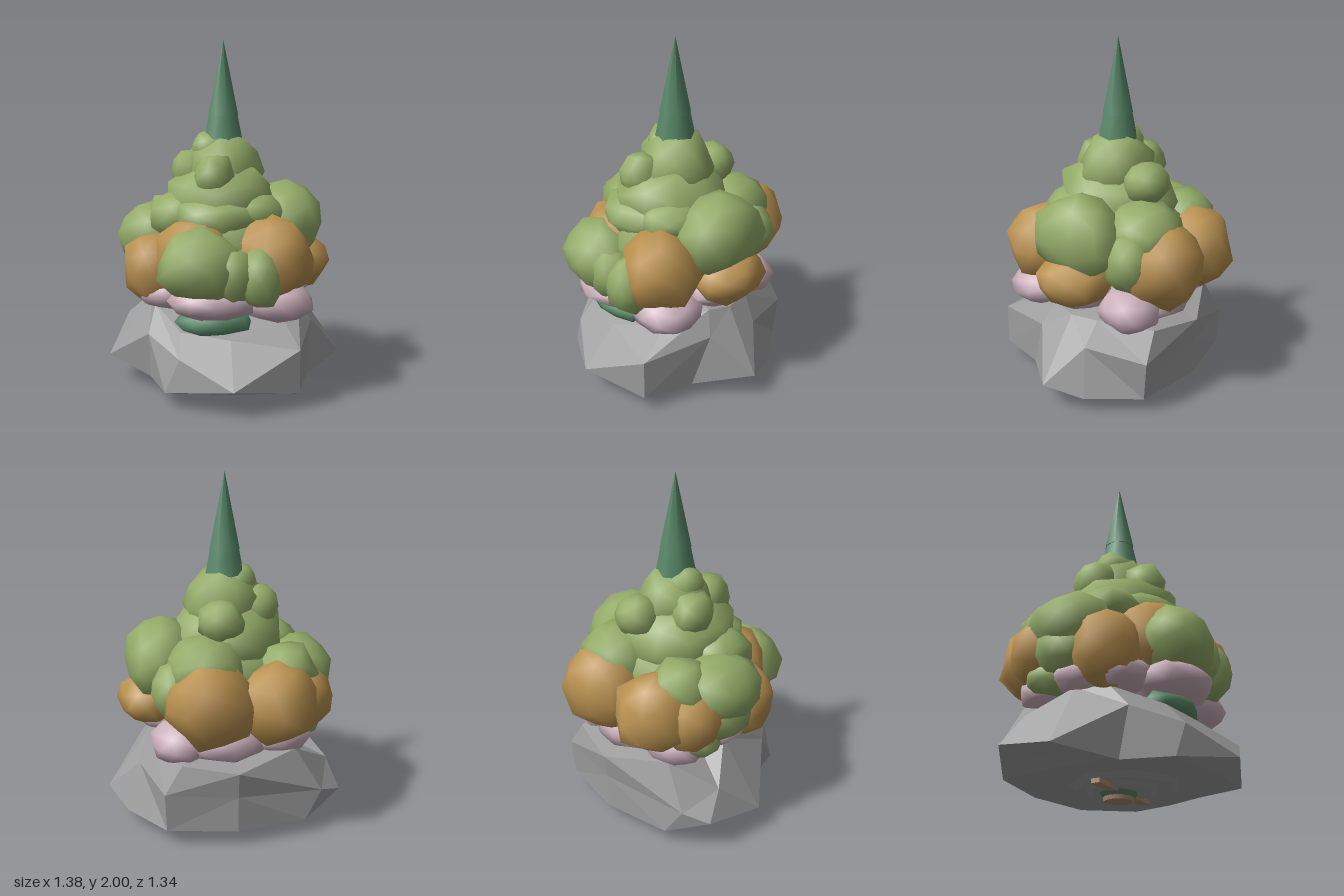
import * as THREE from 'three';
import { mergeVertices } from 'three/addons/utils/BufferGeometryUtils.js';

const mat = (name, color) => {
  const m = new THREE.MeshStandardMaterial({ color });
  m.name = name;
  return m;
};

let seed = 7;
const rand = () => {
  seed = (seed * 16807) % 2147483647;
  return seed / 2147483647;
};

// Lumpy low-poly ball with smooth normals, used for every clump
function blob(rx, ry, rz) {
  let g = new THREE.IcosahedronGeometry(1, 1);
  g.deleteAttribute('normal');
  g.deleteAttribute('uv');
  g = mergeVertices(g, 1e-3);
  g.rotateY(rand() * 6);
  const p = g.attributes.position;
  for (let i = 0; i < p.count; i++) {
    const k = 0.93 + rand() * 0.2;
    p.setXYZ(i, p.getX(i) * k * rx, p.getY(i) * k * ry, p.getZ(i) * k * rz);
  }
  g.computeVertexNormals();
  return g;
}

// Faceted rock from three irregular rings, closed above and below
function rockGeometry() {
  const bottom = [[0, 0.54], [0.37, 0.54], [0.45, 0.25], [0.54, 0.02], [0.59, -0.23], [0.39, -0.5],
    [0, -0.57], [-0.4, -0.5], [-0.45, -0.3], [-0.47, -0.02], [-0.44, 0.22], [-0.36, 0.49]]
    .map(([x, z]) => [x, 0.09, z]);
  const middle = [[0, 0.15, 0.68], [0.37, 0.33, 0.54], [0.49, 0.39, 0.15], [0.69, 0.15, -0.02],
    [0.51, 0.36, -0.18], [0.4, 0.32, -0.52], [0, 0.3, -0.57], [-0.5, 0.25, -0.46],
    [-0.63, 0.2, -0.37], [-0.69, 0.15, -0.02], [-0.45, 0.36, 0.28], [-0.28, 0.28, 0.51]];
  const upper = [[0, 0.37, 0.47], [0.3, 0.45, 0.33], [0.42, 0.52, 0.1], [0.45, 0.5, -0.04],
    [0.42, 0.5, -0.2], [0.3, 0.48, -0.5], [0, 0.45, -0.59], [-0.35, 0.5, -0.42],
    [-0.58, 0.35, -0.25], [-0.43, 0.52, -0.05], [-0.41, 0.5, 0.15], [-0.27, 0.4, 0.4]];
  const rings = [bottom, middle, upper];
  const rising = [1, 2, 5, 7, 11]; // columns whose diagonal climbs to the next column
  const pos = [];
  const tri = (...v) => v.forEach((q) => pos.push(...q));
  for (let j = 0; j < 12; j++) {
    const k = (j + 1) % 12;
    for (let r = 0; r < 2; r++) {
      const [a, b, c, d] = [rings[r][j], rings[r][k], rings[r + 1][k], rings[r + 1][j]];
      if (rising.includes(j)) { tri(a, b, c); tri(a, c, d); } else { tri(a, b, d); tri(b, c, d); }
    }
    tri(upper[j], upper[k], [0, 0.6, 0]);
    tri(bottom[k], bottom[j], [0, 0.09, 0]);
  }
  const g = new THREE.BufferGeometry();
  g.setAttribute('position', new THREE.Float32BufferAttribute(pos, 3));
  g.computeVertexNormals();
  return g;
}

export function createModel() {
  seed = 7;
  const root = new THREE.Group();
  const leaf = mat('leaf green', 0x93ab68);
  const autumn = mat('autumn orange', 0xb99150);
  const blossom = mat('blossom pink', 0xcbb0bb);
  const pine = mat('pine green', 0x578767);
  const stone = mat('stone grey', 0x9e9e9e);
  const wood = mat('wood tan', 0xa98a72);

  const add = (name, geometry, material, x = 0, y = 0, z = 0) => {
    const m = new THREE.Mesh(geometry, material);
    m.name = name;
    m.position.set(x, y, z);
    root.add(m);
  };
  const clumps = (name, material, list) => {
    for (const [x, y, z, rx, ry, rz] of list) add(name, blob(rx, ry, rz), material, x, y, z);
  };

  add('rock', rockGeometry(), stone);

  // Crown clumps, lowest tier first
  clumps('blossomClump', blossom, [
    [-0.09, 0.57, 0.36, 0.24, 0.11, 0.2],
    [0.26, 0.55, 0.28, 0.22, 0.12, 0.2],
    [-0.34, 0.58, 0.18, 0.16, 0.09, 0.16],
    [0.36, 0.62, -0.02, 0.16, 0.09, 0.2],
    [0.28, 0.55, -0.32, 0.17, 0.13, 0.17],
    [0.02, 0.55, -0.36, 0.22, 0.12, 0.16],
    [-0.27, 0.56, -0.28, 0.19, 0.12, 0.18],
    [-0.36, 0.58, -0.03, 0.16, 0.09, 0.18],
  ]);
  clumps('autumnClump', autumn, [
    [0.24, 0.79, 0.3, 0.23, 0.235, 0.23],
    [-0.18, 0.8, 0.28, 0.23, 0.22, 0.2],
    [-0.4, 0.71, 0.13, 0.19, 0.21, 0.19],
    [0.43, 0.71, -0.04, 0.18, 0.15, 0.22],
    [0.13, 0.81, -0.43, 0.24, 0.25, 0.24],
    [-0.24, 0.78, -0.4, 0.23, 0.23, 0.23],
    [-0.4, 0.76, -0.28, 0.18, 0.19, 0.18],
  ]);
  clumps('leafClump', leaf, [
    [0, 0.88, 0, 0.42, 0.28, 0.4],
    [-0.02, 1.06, 0, 0.34, 0.24, 0.34],
    [0.36, 0.94, -0.02, 0.21, 0.23, 0.27],
    [-0.4, 0.87, -0.08, 0.23, 0.21, 0.25],
    [-0.42, 0.74, -0.1, 0.18, 0.17, 0.2],
    [-0.38, 0.6, -0.22, 0.14, 0.1, 0.15],
    [-0.31, 0.92, -0.28, 0.18, 0.16, 0.17],
    [-0.26, 1.0, 0.06, 0.19, 0.15, 0.19],
    [0.15, 0.96, -0.3, 0.22, 0.18, 0.23],
    [0.31, 0.85, -0.33, 0.13, 0.16, 0.14],
    [-0.04, 1.0, 0.16, 0.27, 0.14, 0.23],
    [0.14, 1.02, 0.14, 0.2, 0.13, 0.19],
    [-0.16, 0.77, 0.41, 0.235, 0.2, 0.2],
    [0.01, 0.73, 0.45, 0.13, 0.15, 0.14],
    [0.15, 0.71, 0.43, 0.135, 0.17, 0.16],
    [0, 1.25, -0.02, 0.22, 0.22, 0.2],
    [-0.08, 1.37, -0.02, 0.12, 0.11, 0.11],
    [-0.07, 1.23, 0.18, 0.12, 0.13, 0.12],
    [0.05, 1.22, -0.26, 0.13, 0.12, 0.13],
    [-0.19, 1.24, -0.07, 0.12, 0.13, 0.13],
  ]);

  // Two-part spire
  add('spireBase', new THREE.CylinderGeometry(0.078, 0.115, 0.18, 8).rotateY(0.2), pine, -0.01, 1.52, -0.02);
  add('spireTip', new THREE.ConeGeometry(0.09, 0.43, 8).rotateY(0.2), pine, -0.01, 1.785, -0.02);

  // Pine clump showing between crown and rock
  clumps('pineClump', pine, [[-0.08, 0.44, 0.33, 0.21, 0.085, 0.13]]);

  // Small foot beneath the rock
  add('footStone', new THREE.CylinderGeometry(0.31, 0.27, 0.025, 7), stone, 0, 0.078, 0.02);
  add('footLowerStone', new THREE.CylinderGeometry(0.22, 0.18, 0.02, 6), stone, 0, 0.056, 0);
  add('footBranch', new THREE.BoxGeometry(0.56, 0.025, 0.05), wood, -0.01, 0.05, 0);
  add('footLeaves', new THREE.CylinderGeometry(0.11, 0.09, 0.025, 8), pine, -0.01, 0.035, -0.02);
  add('footBase', new THREE.CylinderGeometry(0.085, 0.08, 0.025, 12), wood, -0.01, 0.0125, -0.02);
  return root;
}
